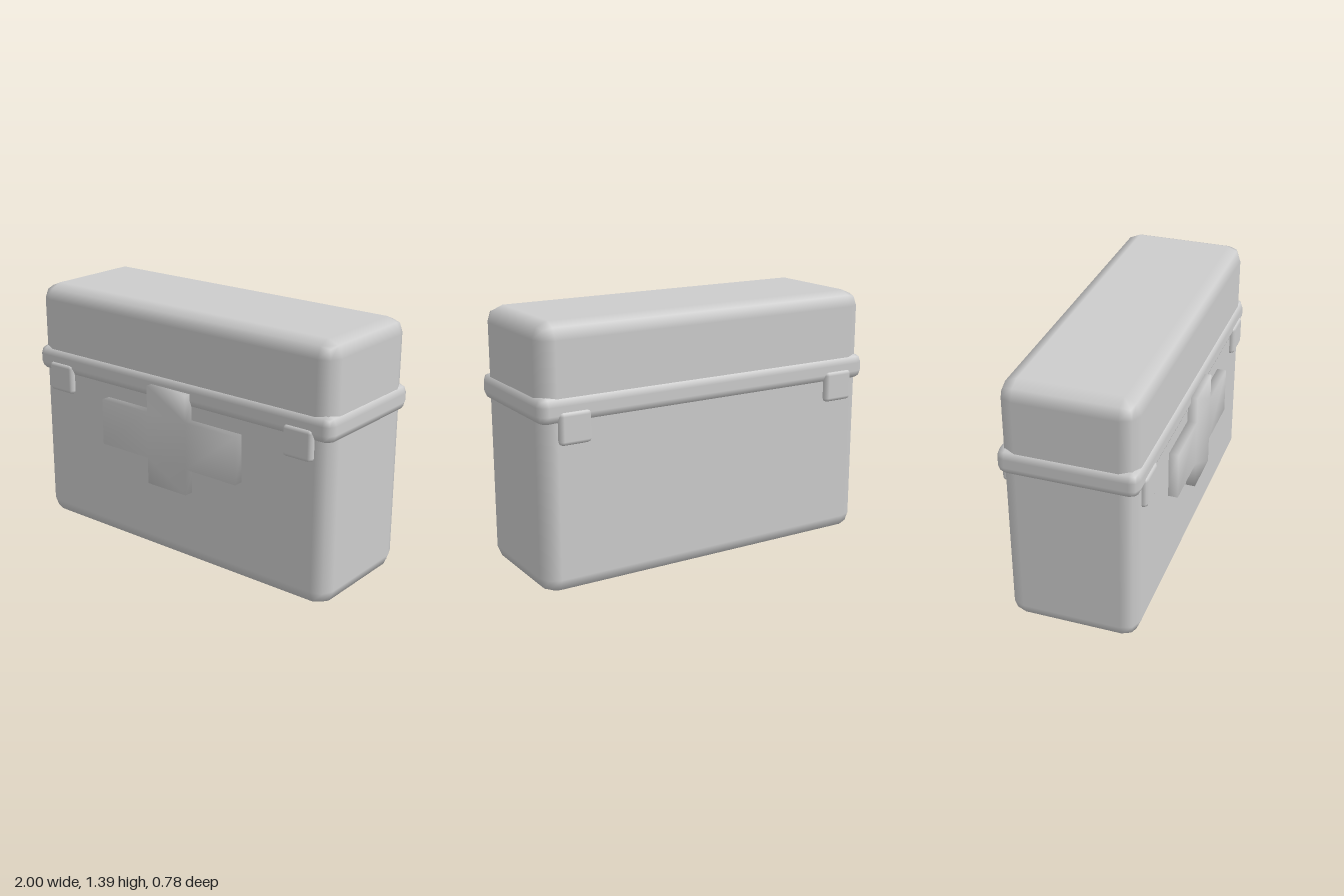
import * as THREE from 'three';
import { RoundedBoxGeometry } from 'three/addons/geometries/RoundedBoxGeometry.js';
import { mergeVertices } from 'three/addons/utils/BufferGeometryUtils.js';

const grey = new THREE.MeshStandardMaterial({ color: 0xcccccc });
grey.name = 'light grey';

// Bevelled box given by its extents on each axis
function bevelBox(name, [x0, x1], [y0, y1], [z0, z1], radius) {
  const geometry = new RoundedBoxGeometry(x1 - x0, y1 - y0, z1 - z0, 1, radius);
  const mesh = new THREE.Mesh(geometry, grey);
  mesh.name = name;
  mesh.position.set((x0 + x1) / 2, (y0 + y1) / 2, (z0 + z1) / 2);
  return mesh;
}

// Plus-shaped plate with normals shared across its edges, for a soft puffy look
function crossPlate() {
  const ax = 0.4625, ay = 0.2775, bx = 0.1325, by = 0.13;
  const shape = new THREE.Shape([
    [bx, -ay], [bx, -by], [ax, -by], [ax, by], [bx, by], [bx, ay],
    [-bx, ay], [-bx, by], [-ax, by], [-ax, -by], [-bx, -by], [-bx, -ay],
  ].map(([x, y]) => new THREE.Vector2(x, y)));
  let geometry = new THREE.ExtrudeGeometry(shape, { depth: 0.07, bevelEnabled: false });
  geometry.deleteAttribute('normal');
  geometry.deleteAttribute('uv');
  geometry = mergeVertices(geometry);
  geometry.computeVertexNormals();
  const mesh = new THREE.Mesh(geometry, grey);
  mesh.name = 'frontCross';
  mesh.position.set(-0.002, 0.6975, 0.32);
  return mesh;
}

export function createModel() {
  const model = new THREE.Group();
  model.name = 'firstAidCase';

  // Case body and the seam band around it
  model.add(bevelBox('caseBody', [-0.985, 0.985], [0, 1.39], [-0.358, 0.338], 0.085));
  model.add(bevelBox('seamBand', [-1, 1], [0.89, 1.035], [-0.374, 0.354], 0.05));

  // Four latches, two on the front and two on the back
  for (const [side, x0, x1] of [['left', 0.725, 0.9], ['right', -0.9, -0.725]]) {
    model.add(bevelBox(side + 'FrontLatch', [x0, x1], [0.787, 0.957], [0.29, 0.366], 0.022));
    model.add(bevelBox(side + 'BackLatch', [x0, x1], [0.787, 0.957], [-0.388, -0.31], 0.022));
  }

  // Raised cross on the front
  model.add(crossPlate());
  return model;
}
